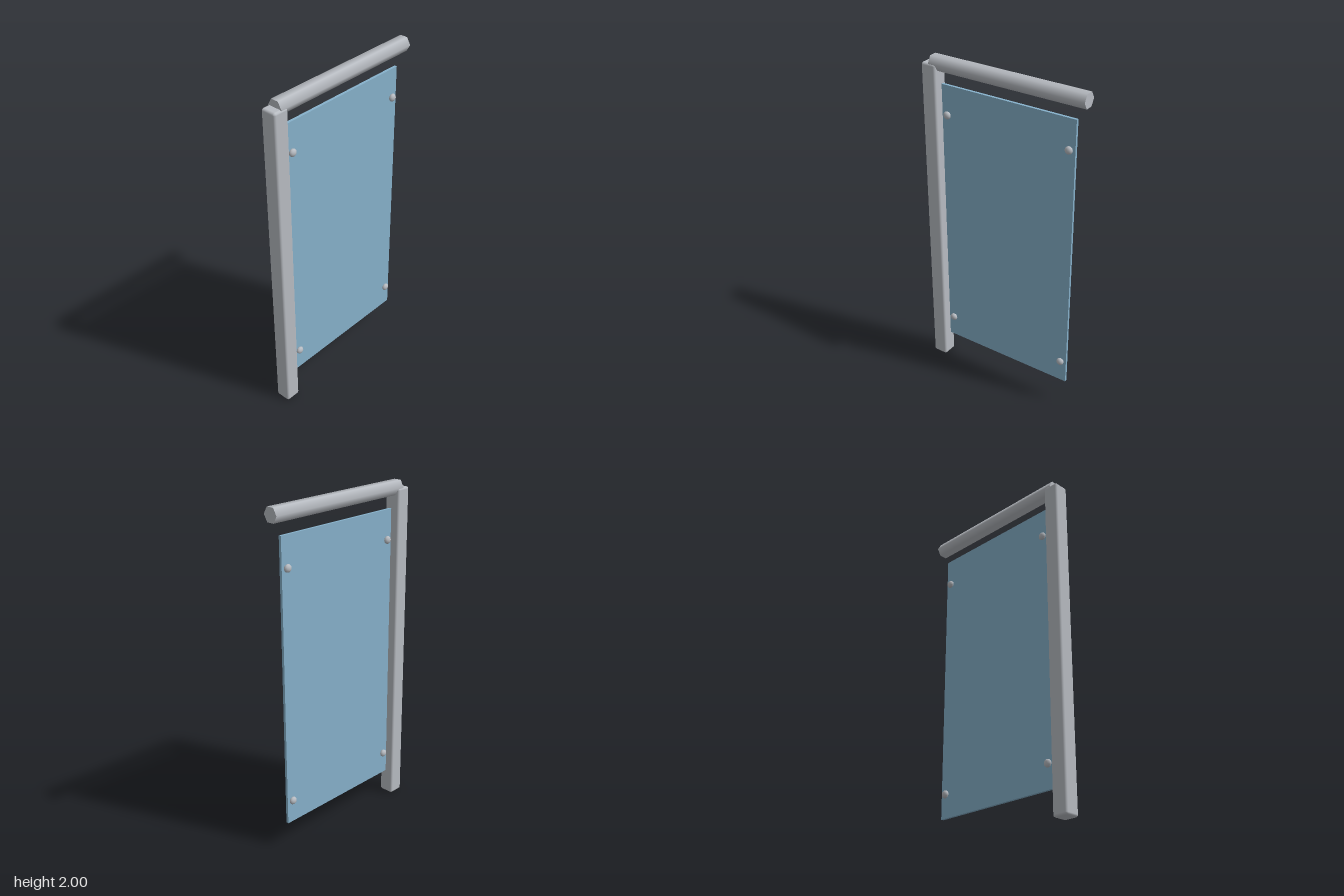
import * as THREE from 'three';
import { RoundedBoxGeometry } from 'three/addons/geometries/RoundedBoxGeometry.js';

export function createModel() {
  const group = new THREE.Group();
  const steel = new THREE.MeshStandardMaterial({ color: 0xb8bcc2 });
  steel.name = 'brushed steel';
  const glass = new THREE.MeshStandardMaterial({ color: 0x86b1cb });
  glass.name = 'blue glass';

  const add = (name, geometry, material, x, y, z) => {
    const mesh = new THREE.Mesh(geometry, material);
    mesh.name = name;
    mesh.position.set(x, y, z);
    group.add(mesh);
    return mesh;
  };

  // Square post with softened edges
  add('post', new RoundedBoxGeometry(0.094, 1.96, 0.094, 3, 0.014), steel, -0.466, 0.98, 0);

  // Six-sided handrail lying along x, smooth around its length
  const rail = add('handrail', new THREE.CylinderGeometry(0.046, 0.046, 0.976, 6), steel, 0.024, 1.96, 0);
  rail.rotation.z = Math.PI / 2;

  // Infill panel
  add('glassPanel', new THREE.BoxGeometry(0.856, 1.684, 0.016), glass, 0.023, 1.003, 0);

  // Domed fixings on both faces at the four corners
  const dome = new THREE.SphereGeometry(0.023, 12, 8);
  dome.rotateX(Math.PI / 2);
  dome.scale(1, 1, 0.7);
  for (const x of [-0.369, 0.415])
    for (const y of [0.3, 1.67])
      for (const side of [-1, 1])
        add('panelFixing', dome, steel, x, y, side * 0.015);

  return group;
}
